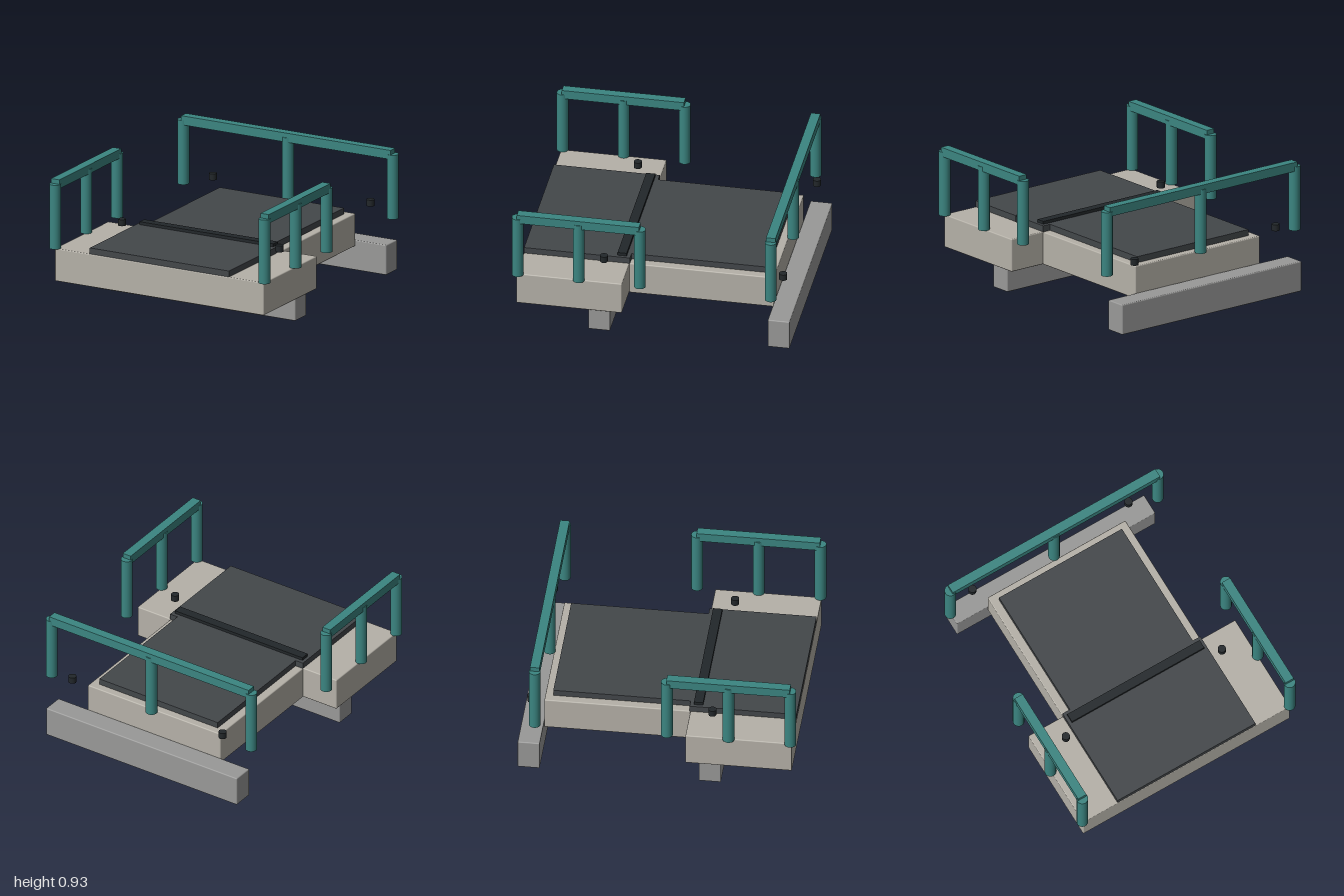
import * as THREE from 'three';
import { RoundedBoxGeometry } from 'three/addons/geometries/RoundedBoxGeometry.js';

const mat = (color) => new THREE.MeshStandardMaterial({ color });

export function createModel() {
  const model = new THREE.Group();
  const stone = mat(0xb5b1a8), concrete = mat(0x999998), rubber = mat(0x43474a);
  const black = mat(0x22272a), teal = mat(0x3b8581);

  function add(name, geometry, material, x, y, z) {
    const mesh = new THREE.Mesh(geometry, material);
    mesh.name = name;
    mesh.position.set(x, y, z);
    model.add(mesh);
  }
  // Boxes given by their extents: half width in x, then y and z ranges
  function slab(name, material, halfX, y0, y1, z0, z1, bevel = 0) {
    const size = [2 * halfX, y1 - y0, z1 - z0];
    const geometry = bevel
      ? new RoundedBoxGeometry(...size, 2, bevel)
      : new THREE.BoxGeometry(...size);
    add(name, geometry, material, 0, (y0 + y1) / 2, (z0 + z1) / 2);
  }

  // T-shaped deck on two cross beams
  slab('frontDeck', stone, 0.855, 0.18, 0.423, 0.205, 0.967, 0.008);
  slab('rearDeck', stone, 0.57, 0.18, 0.423, -0.84, 0.205, 0.008);
  slab('frontBeam', concrete, 0.82, 0, 0.223, 0.297, 0.455, 0.008);
  slab('rearBeam', concrete, 0.82, 0, 0.223, -1, -0.842, 0.008);

  // Floor mats and the raised strip across them
  slab('frontMat', rubber, 0.57, 0.423, 0.468, 0.2, 0.965);
  slab('rearMat', rubber, 0.508, 0.423, 0.468, -0.783, 0.2);
  slab('crossStrip', black, 0.547, 0.468, 0.49, 0.228, 0.294);

  // Short pegs above the beam ends
  const pegGeometry = new THREE.CylinderGeometry(0.029, 0.029, 0.047, 16);
  for (const z of [0.373, -0.922])
    for (const x of [-0.645, 0.645]) add('peg', pegGeometry, black, x, 0.494, z);

  // Guard rails: round posts under a square bar
  const postX = 0.857, rearZ = -0.872, sideZ = [0.957, 0.515, 0.074];
  const postGeometry = new THREE.CylinderGeometry(0.042, 0.042, 0.476, 20);
  const post = (name, x, z) => add(name, postGeometry, teal, x, 0.661, z);
  for (const side of [-1, 1]) {
    for (const z of sideZ) post('sidePost', side * postX, z);
    add('sideRail', new THREE.BoxGeometry(0.068, 0.067, sideZ[0] - sideZ[2]), teal,
      side * postX, 0.899, (sideZ[0] + sideZ[2]) / 2);
  }
  for (const x of [-postX, 0, postX]) post('rearPost', x, rearZ);
  add('rearRail', new THREE.BoxGeometry(2 * postX, 0.067, 0.068), teal, 0, 0.899, rearZ);

  return model;
}
